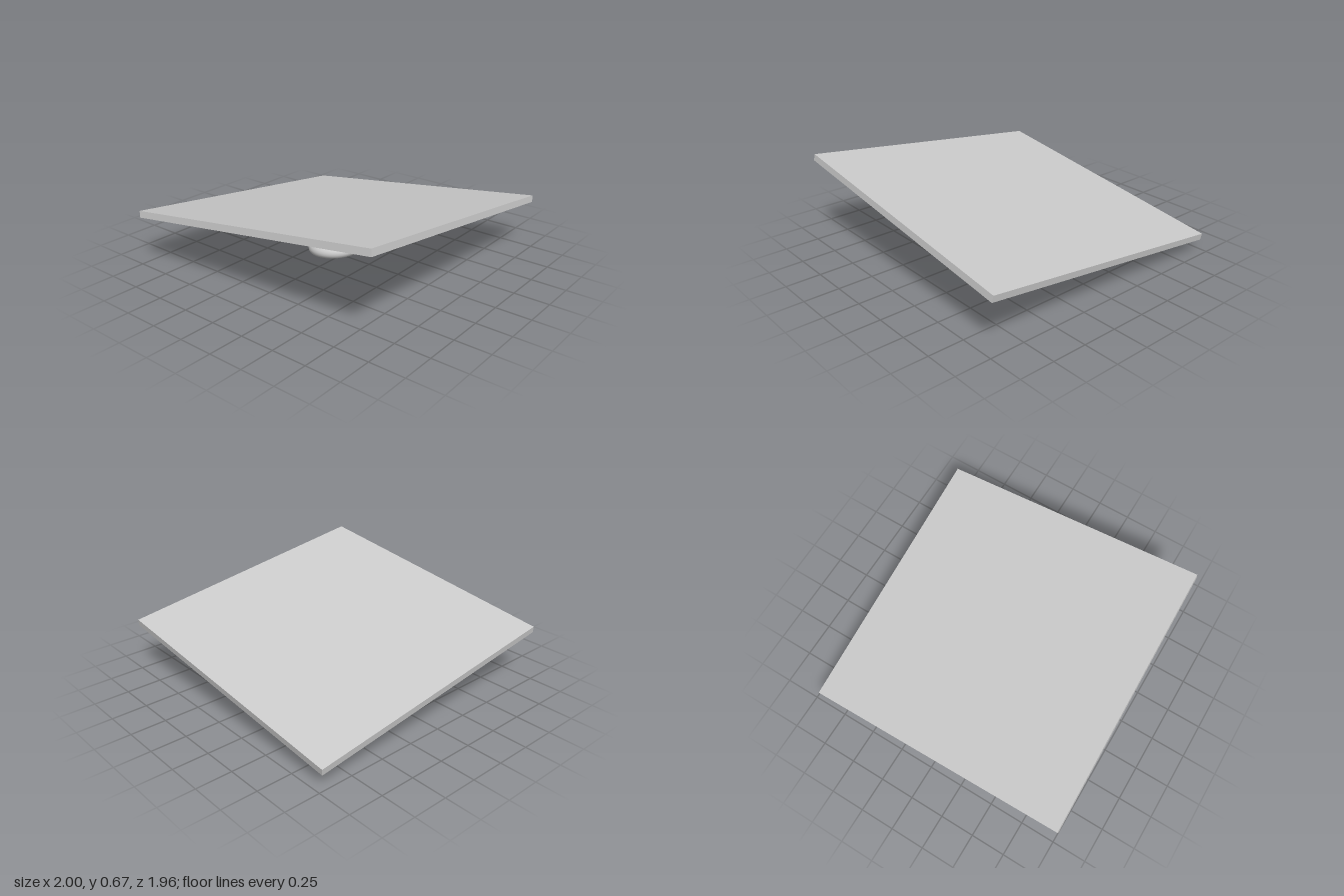
import * as THREE from 'three';

export function createModel() {
  const group = new THREE.Group();
  const material = new THREE.MeshStandardMaterial({ color: 0xcccccc });

  // Flat square platform, tilted down to one side and to the back
  const platform = new THREE.Mesh(new THREE.BoxGeometry(1.975, 0.047, 1.975), material);
  platform.name = 'platform';
  platform.rotation.set(-0.136, 0, -0.139, 'ZYX');
  platform.position.set(0, 0.382, 0);
  group.add(platform);

  // Coil spring: wire height at every quarter turn, starting at the back
  const heights = [0.04, 0.072, 0.095, 0.092, 0.115, 0.185, 0.228, 0.268, 0.285, 0.318, 0.34, 0.355];
  const coilRadius = 0.168, wireRadius = 0.04, centreZ = -0.043;
  const start = 0.03, end = 2.62, steps = 96;

  const heightAt = (turns) => {
    const q = turns * 4;
    const i = Math.min(Math.floor(q), heights.length - 2);
    const f = q - i;
    const at = (k) => heights[Math.max(0, Math.min(heights.length - 1, k))];
    const [a, b, c, d] = [at(i - 1), at(i), at(i + 1), at(i + 2)];
    return b + 0.5 * f * (c - a + f * (2 * a - 5 * b + 4 * c - d + f * (3 * (b - c) + d - a)));
  };

  const points = [];
  for (let i = 0; i <= steps; i++) {
    const turns = start + (end - start) * i / steps;
    const angle = turns * Math.PI * 2;
    points.push(new THREE.Vector3(
      0.003 - coilRadius * Math.sin(angle),
      heightAt(turns),
      centreZ - coilRadius * Math.cos(angle)
    ));
  }
  const path = new THREE.CatmullRomCurve3(points);

  const spring = new THREE.Group();
  spring.name = 'spring';
  const wire = new THREE.Mesh(new THREE.TubeGeometry(path, 180, wireRadius, 16, false), material);
  wire.name = 'springWire';
  spring.add(wire);

  // Flat caps closing both wire ends
  for (const [t, sign] of [[0, -1], [1, 1]]) {
    const cap = new THREE.Mesh(new THREE.CircleGeometry(wireRadius, 16), material);
    cap.name = t === 0 ? 'lowerWireEnd' : 'upperWireEnd';
    const outward = path.getTangentAt(t).multiplyScalar(sign);
    cap.position.copy(path.getPointAt(t));
    cap.quaternion.setFromUnitVectors(new THREE.Vector3(0, 0, 1), outward);
    spring.add(cap);
  }
  group.add(spring);

  return group;
}
